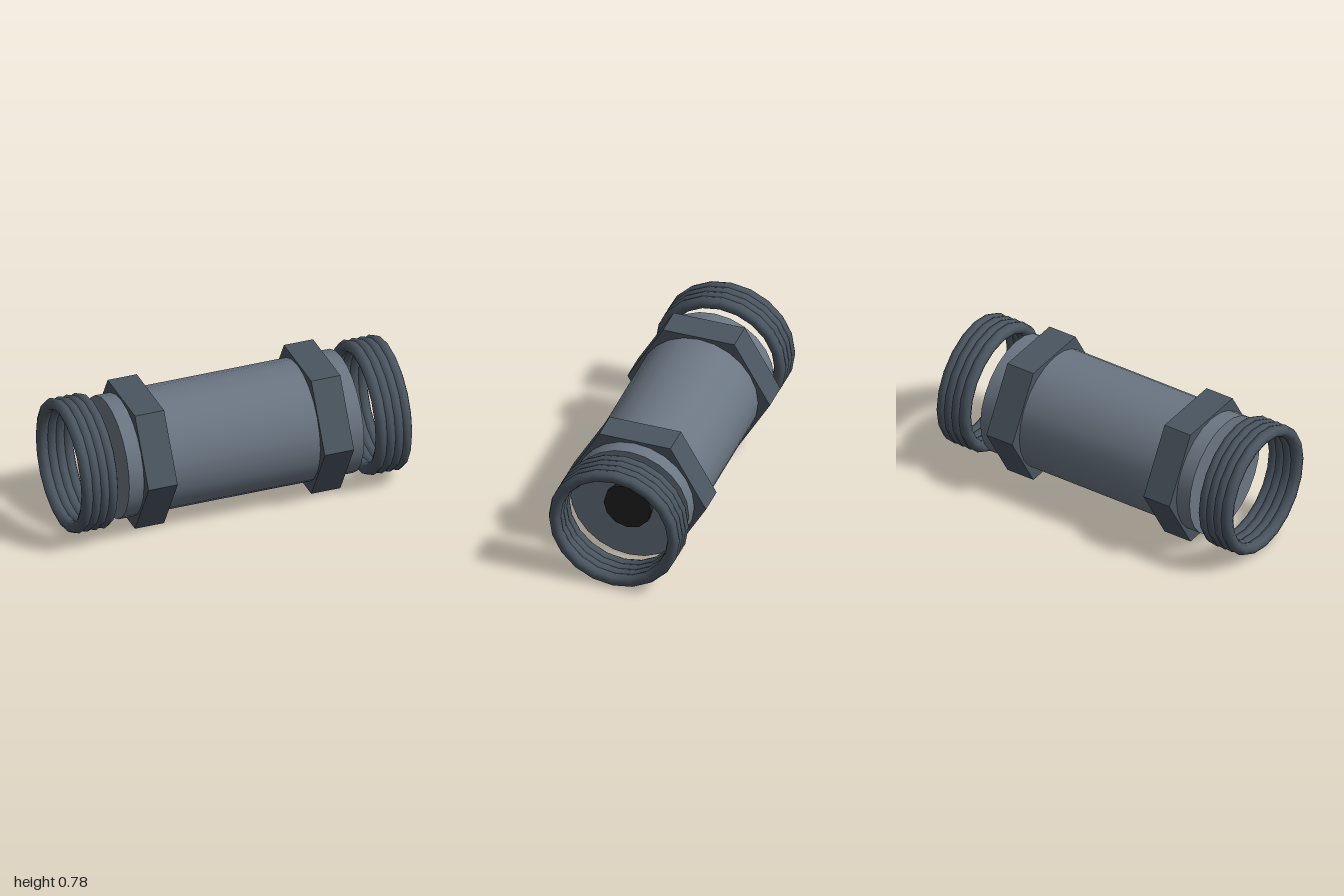
import * as THREE from 'three';

const AXIS_Y = 0.392;

export function createModel() {
  const group = new THREE.Group();
  const bodyMat = new THREE.MeshStandardMaterial({ color: 0x6b7683 });
  const metalMat = new THREE.MeshStandardMaterial({ color: 0x4a5560 });
  const hexMat = new THREE.MeshStandardMaterial({ color: 0x4a5560, flatShading: true });
  const boreMat = new THREE.MeshStandardMaterial({ color: 0x222222, flatShading: true });

  function add(name, geometry, material, x) {
    const mesh = new THREE.Mesh(geometry, material);
    mesh.name = name;
    mesh.position.set(x, AXIS_Y, 0);
    group.add(mesh);
  }

  // Cylinder lying along x
  const rod = (radius, length, sides) =>
    new THREE.CylinderGeometry(radius, radius, length, sides).rotateZ(Math.PI / 2);

  // Main barrel and the dark bore disc showing at both ends
  add('barrel', rod(0.356, 1.42, 24), bodyMat, 0);
  add('bore', rod(0.142, 1.49, 12), boreMat, 0);

  // Hexagonal collars and thread rings, mirrored on both ends
  const collar = rod(0.427, 0.176, 6);
  const ring = new THREE.TorusGeometry(0.356, 0.0356, 8, 20).rotateY(Math.PI / 2);
  for (const [side, s] of [['left', 1], ['right', -1]]) {
    add(side + 'HexCollar', collar, hexMat, s * 0.533);
    for (let i = 0; i < 4; i++) {
      add(side + 'ThreadRing' + (i + 1), ring, metalMat, s * (0.8144 + i * 0.05));
    }
  }
  return group;
}
